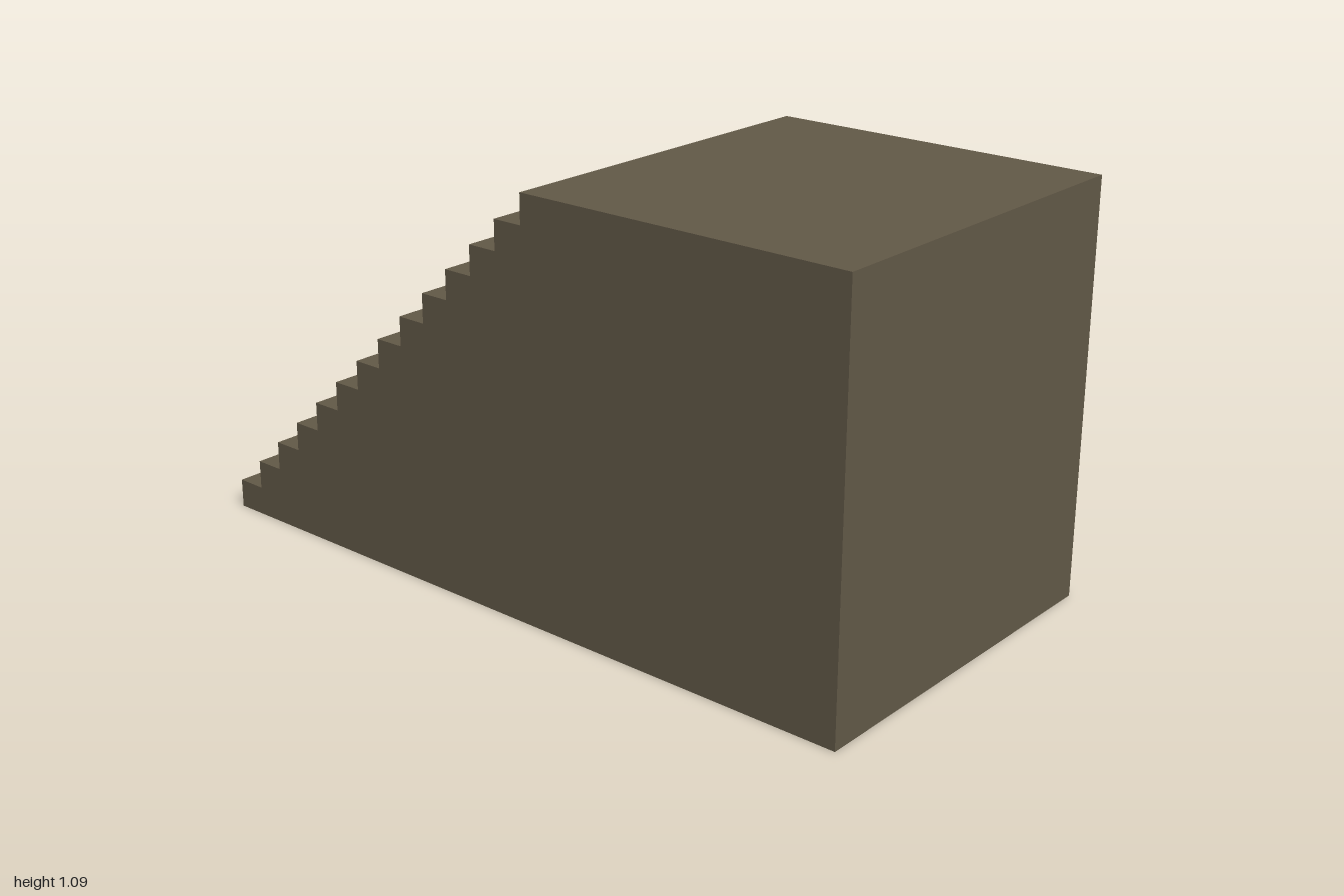
import * as THREE from 'three';

const STEPS = 14;          // risers, the last one reaching the landing
const RUN = 1 / 12;        // tread depth
const HEIGHT = 1.085;      // landing height
const WIDTH = 1;           // stair width along z

export function createModel() {
  const group = new THREE.Group();
  group.name = 'staircase';

  const stone = new THREE.MeshStandardMaterial({ color: 0x625947 });
  stone.name = 'brown stone';

  // Stepped side profile, climbing from -x to the landing at +x
  const rise = HEIGHT / STEPS;
  const profile = new THREE.Shape();
  profile.moveTo(1, 0);
  profile.lineTo(1, HEIGHT);
  for (let i = STEPS - 1; i >= 0; i--) {
    const x = -1 + i * RUN;
    profile.lineTo(x, (i + 1) * rise);
    profile.lineTo(x, i * rise);
  }
  profile.closePath();

  // Solid block of steps and landing
  const geometry = new THREE.ExtrudeGeometry(profile, { depth: WIDTH, bevelEnabled: false });
  geometry.translate(0, 0, -WIDTH / 2);
  const stairs = new THREE.Mesh(geometry, stone);
  stairs.name = 'stepsAndLanding';
  group.add(stairs);

  return group;
}
